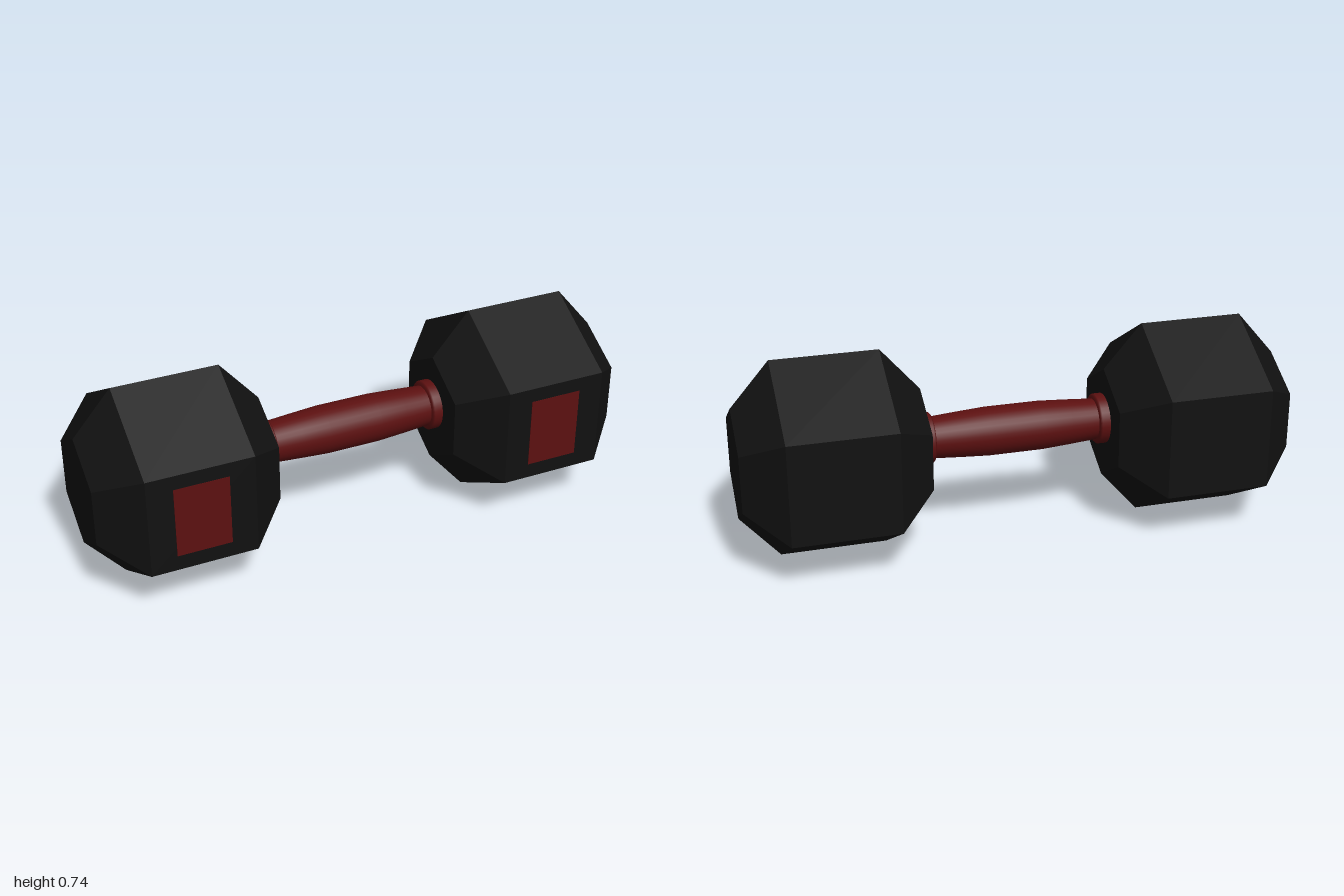
import * as THREE from 'three';

const rubber = new THREE.MeshStandardMaterial({ color: 0x111111, flatShading: true });
const red = new THREE.MeshStandardMaterial({ color: 0x5c1010 });

// Revolve [x, radius] pairs about the x axis
function turned(profile, sides, phi = 0) {
  const points = profile.map(([x, r]) => new THREE.Vector2(r, x));
  return new THREE.LatheGeometry(points, sides, phi).rotateZ(-Math.PI / 2);
}

function add(group, name, geometry, material, x, y, z) {
  const mesh = new THREE.Mesh(geometry, material);
  mesh.name = name;
  mesh.position.set(x, y, z);
  group.add(mesh);
}

export function createModel() {
  const model = new THREE.Group();
  model.name = 'dumbbell';
  const headY = 0.368, gripY = 0.385, headX = 0.67;

  // Hexagonal weight with chamfered ends, one corner pointing straight down
  const head = turned([
    [-0.33, 0], [-0.33, 0.207], [-0.19, 0.368],
    [0.19, 0.368], [0.33, 0.207], [0.33, 0],
  ], 6, Math.PI / 2);

  // Collar where the grip meets the weight
  const collar = turned([
    [-0.04, 0.07], [-0.038, 0.086], [-0.032, 0.092], [0.03, 0.092],
  ], 32);

  const plate = new THREE.BoxGeometry(0.195, 0.26, 0.01);

  for (const side of [-1, 1]) {
    const name = side > 0 ? 'left' : 'right';
    add(model, name + 'Weight', head, rubber, side * headX, headY, 0);
    add(model, name + 'Plate', plate, red, side * headX, 0.37, 0.3155);
    const end = collar.clone();
    if (side < 0) end.rotateY(Math.PI);
    add(model, name + 'Collar', end, red, side * 0.342, gripY, 0);
  }

  // Grip, thicker in the middle
  const grip = turned([
    [-0.35, 0.073], [-0.3, 0.075], [-0.2, 0.082], [-0.1, 0.088],
    [0.1, 0.088], [0.2, 0.082], [0.3, 0.075], [0.35, 0.073],
  ], 32);
  add(model, 'grip', grip, red, 0, gripY, 0);

  return model;
}
